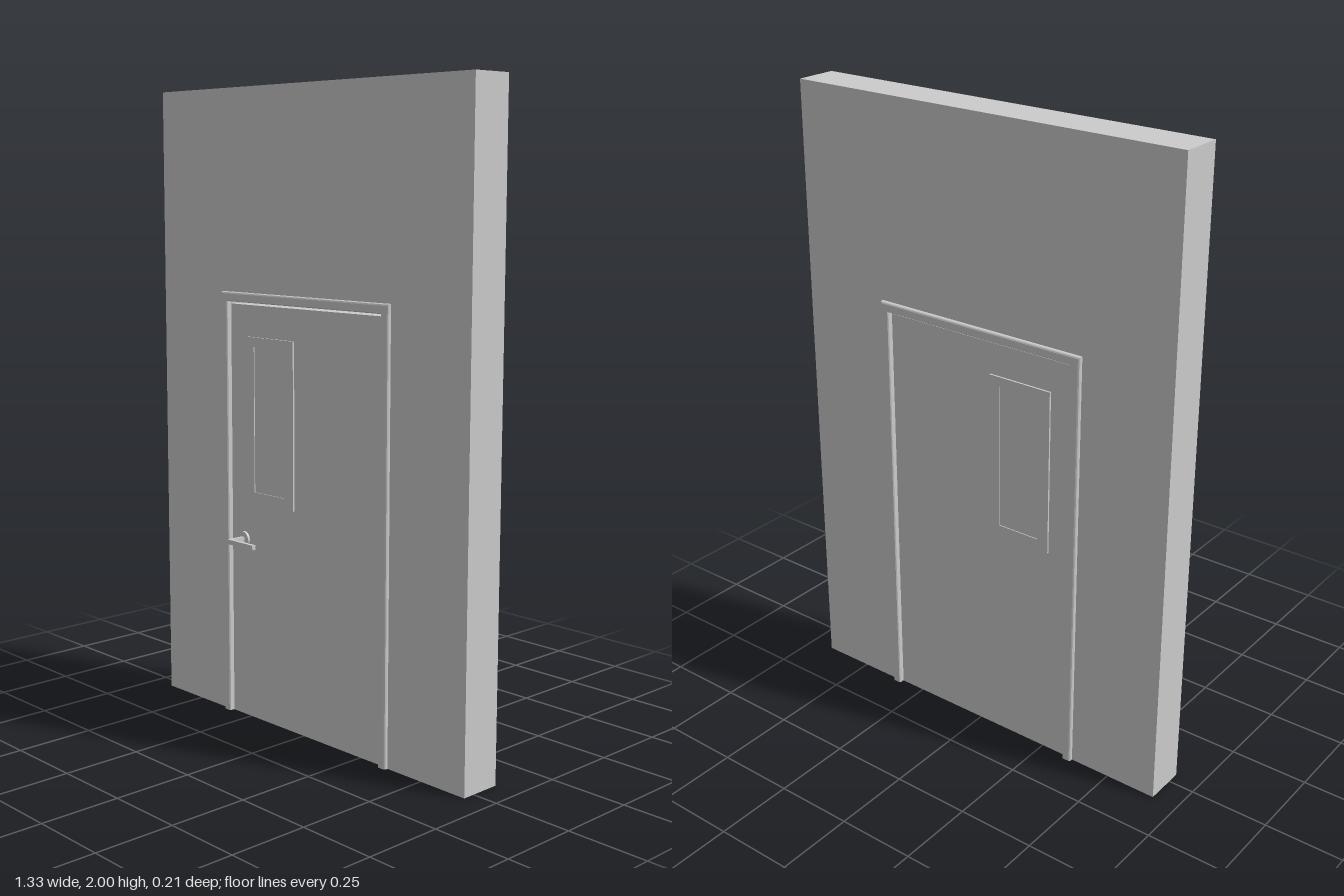
import * as THREE from 'three';

const mat = new THREE.MeshStandardMaterial({ color: 0xcccccc });
const openMat = new THREE.MeshStandardMaterial({ color: 0xcccccc, flatShading: true, side: THREE.DoubleSide });

// Opening half-width and height, and the z range of the wall
const HALF = 0.337, HEAD = 1.342;
const WALL_BACK = -0.095, WALL_FRONT = 0.04;

function add(parent, name, geometry, material = mat) {
  const mesh = new THREE.Mesh(geometry, material);
  mesh.name = name;
  parent.add(mesh);
  return mesh;
}

// Box given by its min and max corners
function box(parent, name, [x0, y0, z0], [x1, y1, z1]) {
  const mesh = add(parent, name, new THREE.BoxGeometry(x1 - x0, y1 - y0, z1 - z0));
  mesh.position.set((x0 + x1) / 2, (y0 + y1) / 2, (z0 + z1) / 2);
  return mesh;
}

function rectPoints(x0, y0, x1, y1) {
  return [[x0, y0], [x1, y0], [x1, y1], [x0, y1]].map(p => new THREE.Vector2(...p));
}

// Sweeps a closed profile of [outward offset, z] up one jamb, across the head and down the other
function portalGeometry(profile) {
  const stations = [[-1, 0], [-1, 1], [1, 1], [1, 0]];
  const positions = [], index = [], n = profile.length;
  for (const [side, top] of stations) {
    for (const [o, z] of profile) positions.push(side * (HALF + o), top * (HEAD + o), z);
  }
  for (let s = 0; s < stations.length - 1; s++) {
    for (let i = 0; i < n; i++) {
      const a = s * n + i, b = s * n + (i + 1) % n;
      index.push(a, b, a + n, b, b + n, a + n);
    }
  }
  const g = new THREE.BufferGeometry();
  g.setAttribute('position', new THREE.Float32BufferAttribute(positions, 3));
  g.setIndex(index);
  const flat = g.toNonIndexed();
  flat.computeVertexNormals();
  return flat;
}

export function createModel() {
  const model = new THREE.Group();
  model.name = 'doorInWall';

  // Wall with the door opening cut out of its lower edge
  const throat = 0.02;
  const w = HALF + throat, h = HEAD + throat;
  const wallShape = new THREE.Shape([
    [-0.667, 0], [-w, 0], [-w, h], [w, h], [w, 0], [0.667, 0], [0.667, 2], [-0.667, 2],
  ].map(p => new THREE.Vector2(...p)));
  const wallGeometry = new THREE.ExtrudeGeometry(wallShape, { depth: WALL_FRONT - WALL_BACK, bevelEnabled: false });
  wallGeometry.translate(0, 0, WALL_BACK);
  add(model, 'wall', wallGeometry);

  // Door frame: lining with a rounded casing on both faces of the wall
  const f = 0.053, b = -0.108, out = 0.03;
  add(model, 'doorFrame', portalGeometry([
    [0, b + 0.003], [0, f - 0.003], [0.003, f], [out - 0.006, f], [out - 0.002, f - 0.002], [out, f - 0.006],
    [out, WALL_FRONT], [throat, WALL_FRONT], [throat, WALL_BACK], [out, WALL_BACK],
    [out, b + 0.006], [out - 0.002, b + 0.002], [out - 0.006, b], [0.003, b],
  ]), openMat);

  // Door leaf, with a small gap under the head
  const door = new THREE.Group();
  door.name = 'door';
  model.add(door);
  const front = 0.036, back = -0.091;
  box(door, 'doorLeaf', [-HALF + 0.001, 0, back], [HALF - 0.001, 1.334, front]);

  // Vision panel: raised rim and glass on each face
  const rimShape = new THREE.Shape(rectPoints(-0.26, 0.71, -0.042, 1.235));
  rimShape.holes.push(new THREE.Path(rectPoints(-0.222, 0.745, -0.08, 1.205)));
  for (const [label, z, dir] of [['front', front, 1], ['back', back, -1]]) {
    const rim = new THREE.ExtrudeGeometry(rimShape, { depth: 0.006, bevelEnabled: false });
    rim.translate(0, 0, dir > 0 ? z : z - 0.006);
    add(door, label + 'WindowRim', rim);
    box(door, label + 'WindowGlass', [-0.222, 0.745, z - 0.003], [-0.08, 1.205, z + 0.003]);
  }

  // Lever handle: round rose, neck and lever
  const handle = new THREE.Group();
  handle.name = 'handle';
  door.add(handle);
  const rose = add(handle, 'rose', new THREE.CylinderGeometry(0.024, 0.024, 0.008, 32));
  rose.rotation.x = Math.PI / 2;
  rose.position.set(-0.277, 0.585, front + 0.004);
  box(handle, 'neck', [-0.283, 0.577, front], [-0.27, 0.592, 0.091]);
  box(handle, 'lever', [-0.283, 0.577, 0.091], [-0.163, 0.592, 0.104]);

  return model;
}
